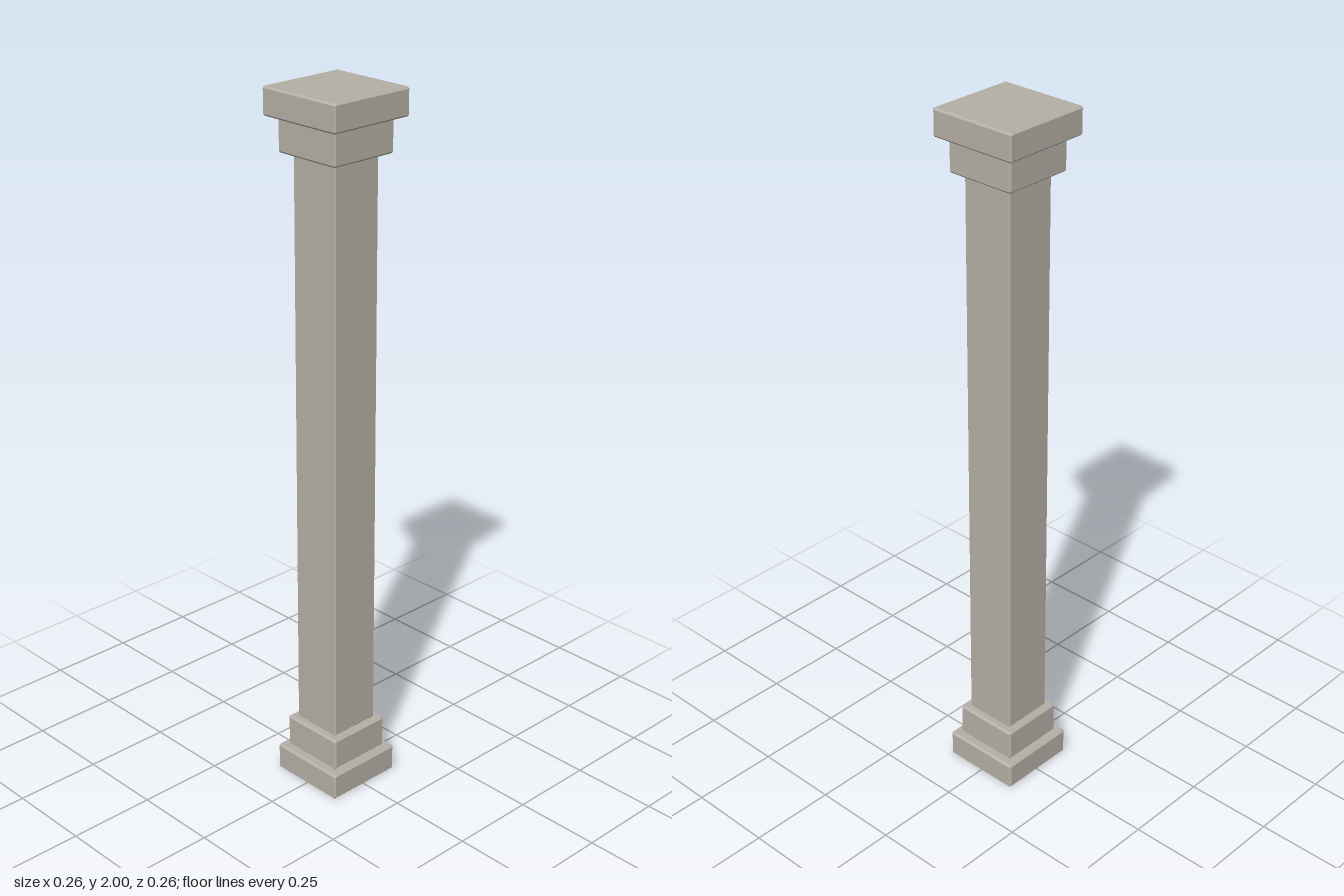
import * as THREE from 'three';
import { ConvexGeometry } from 'three/addons/geometries/ConvexGeometry.js';

// Square block from y0 to y1 with small chamfers on every edge
function chamferedBlock(half, y0, y1, c) {
  const points = [];
  const mid = (y0 + y1) / 2, h = (y1 - y0) / 2;
  for (const sx of [-1, 1]) for (const sy of [-1, 1]) for (const sz of [-1, 1]) {
    const corner = (dx, dy, dz) =>
      points.push(new THREE.Vector3(sx * (half - dx), mid + sy * (h - dy), sz * (half - dz)));
    corner(0, c, c);
    corner(c, 0, c);
    corner(c, c, 0);
  }
  return new ConvexGeometry(points);
}

export function createModel() {
  const group = new THREE.Group();
  group.name = 'column';
  const stone = new THREE.MeshStandardMaterial({ color: 0xb5afa5, flatShading: true });
  stone.name = 'warm grey stone';

  // Stacked blocks: name, half width, bottom, top, chamfer
  const blocks = [
    ['plinth', 0.118, 0, 0.08, 0.006],
    ['baseBlock', 0.097, 0.08, 0.176, 0.006],
    ['shaft', 0.077, 0.174, 1.834, 0.004],
    ['capitalBlock', 0.104, 1.83, 1.924, 0.005],
    ['abacus', 0.131, 1.924, 2, 0.005],
  ];
  for (const [name, half, y0, y1, c] of blocks) {
    const mesh = new THREE.Mesh(chamferedBlock(half, y0, y1, c), stone);
    mesh.name = name;
    group.add(mesh);
  }
  return group;
}
